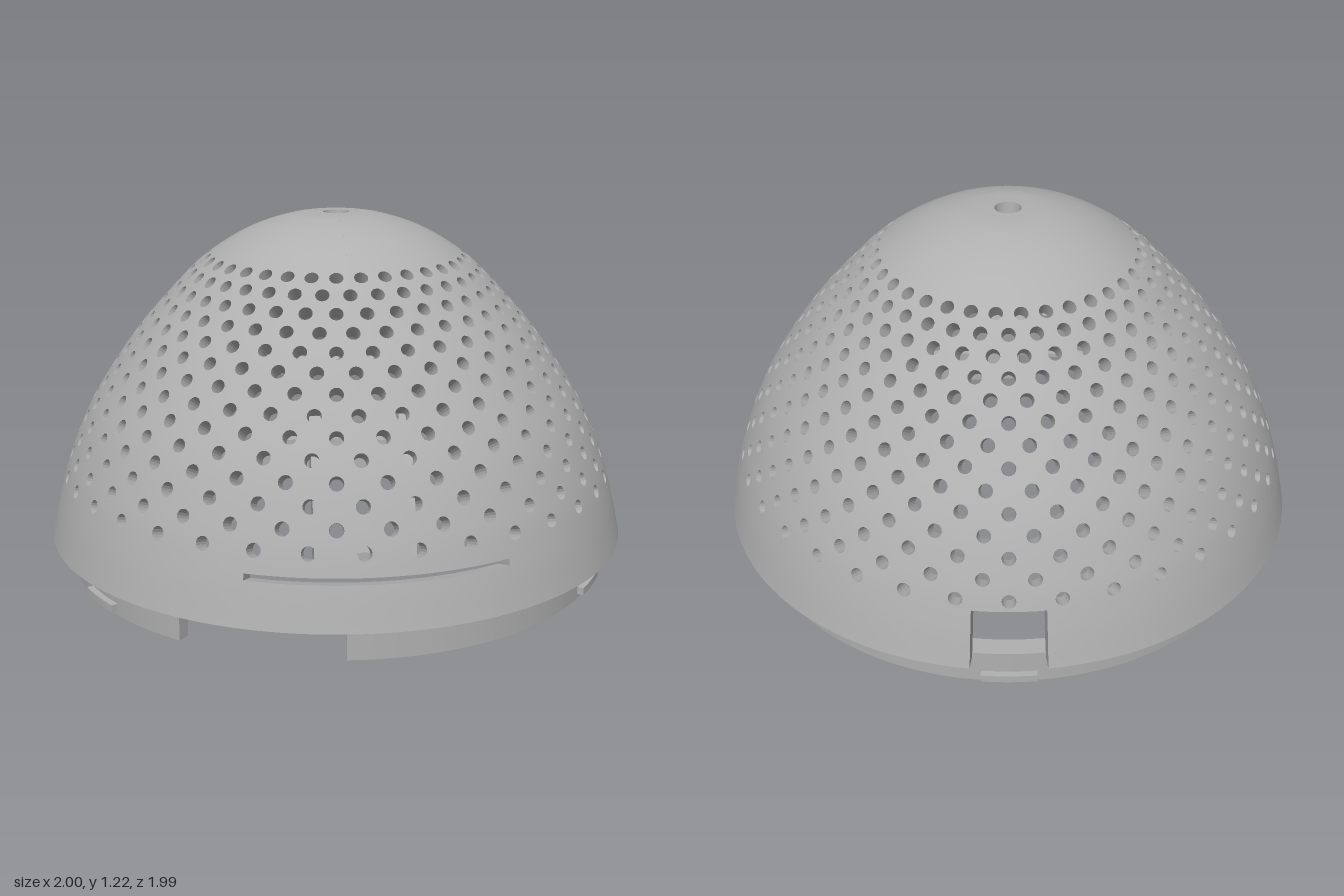
import * as THREE from 'three';
import { toCreasedNormals } from 'three/addons/utils/BufferGeometryUtils.js';

const RAD = Math.PI / 180;
const WALL = 0.06;        // shell thickness
const HOLE = 0.0225;      // vent hole radius
const ROWS = 14, COLS = 36;
const RIM = 0.12, BAND_TOP = 0.315, VENT_TOP = 1.09;

// Dome profile (radius, height), from rim to crown
const profile = new THREE.SplineCurve([
  [1, 0.12], [0.966, 0.27], [0.922, 0.41], [0.84, 0.59], [0.7, 0.8],
  [0.58, 0.94], [0.46, 1.06], [0.31, 1.155], [0.16, 1.207], [0.045, 1.217],
].map(p => new THREE.Vector2(...p)));
const LENGTH = profile.getLength();

// Profile parameter at a given height
function tAt(y) {
  let lo = 0, hi = 1;
  for (let i = 0; i < 30; i++) {
    const m = (lo + hi) / 2;
    if (profile.getPointAt(m).y < y) lo = m; else hi = m;
  }
  return lo;
}

// Point and normal at angle a (degrees from front), profile position t, depth d
function onDome([a, t, d]) {
  const p = profile.getPointAt(t), g = profile.getTangentAt(t);
  const s = Math.sin(a * RAD), c = Math.cos(a * RAD);
  const r = p.x - g.y * d, y = Math.max(RIM, p.y + g.x * d);
  return {
    p: new THREE.Vector3(r * s, y, r * c),
    n: new THREE.Vector3(g.y * s, -g.x, g.y * c),
  };
}

// Collects curved sheets into one geometry
class Shell {
  constructor() { this.pos = []; this.nor = []; }

  // side: 1 outer face, -1 inner face, 0 flat-shaded wall
  sheet(fn, nu, nv, side) {
    const grid = [];
    for (let j = 0; j <= nv; j++) {
      for (let i = 0; i <= nu; i++) grid.push(onDome(fn(i / nu, j / nv)));
    }
    const w = nu + 1;
    for (let j = 0; j < nv; j++) for (let i = 0; i < nu; i++) {
      const k = j * w + i;
      const q = [k, k + 1, k + w + 1, k + w].map(m => grid[m]);
      if (side < 0) q.reverse();
      const flat = q[2].p.clone().sub(q[0].p).cross(q[3].p.clone().sub(q[1].p)).normalize();
      for (const m of [0, 1, 2, 0, 2, 3]) {
        const n = side ? q[m].n.clone().multiplyScalar(side) : flat;
        this.pos.push(...q[m].p.toArray());
        this.nor.push(...n.toArray());
      }
    }
  }

  // Walls around the outline of a patch
  edge(a0, a1, t0, t1, n) {
    this.sheet((u, v) => [...outline(u, a0, a1, t0, t1), WALL * (1 - v)], 4 * n, 1, 0);
  }

  // Solid curved panel
  panel(a0, a1, t0, t1, nv = 4) {
    const nu = Math.max(2, Math.ceil((a1 - a0) / 2.5));
    const at = d => (u, v) => [a0 + (a1 - a0) * u, t0 + (t1 - t0) * v, d];
    this.sheet(at(0), nu, nv, 1);
    this.sheet(at(WALL), nu, nv, -1);
    this.edge(a0, a1, t0, t1, nu);
  }

  // Panel with a round hole through it
  vent(a0, a1, t0, t1, ac, walled) {
    const tc = (t0 + t1) / 2, r = profile.getPointAt(tc).x;
    const circle = u => {
      const f = (u * 360 - 135) * RAD;
      return [ac + HOLE * Math.cos(f) / r / RAD, tc + HOLE * Math.sin(f) / LENGTH];
    };
    const face = d => (u, v) => {
      const o = outline(u, a0, a1, t0, t1), c = circle(u);
      return [o[0] + (c[0] - o[0]) * v, o[1] + (c[1] - o[1]) * v, d];
    };
    this.sheet(face(0), 16, 1, 1);
    this.sheet(face(WALL), 16, 1, -1);
    this.sheet((u, v) => [...circle(u), WALL * v], 16, 1, 0);
    if (walled) this.edge(a0, a1, t0, t1, 4);
  }

  geometry() {
    const g = new THREE.BufferGeometry();
    g.setAttribute('position', new THREE.Float32BufferAttribute(this.pos, 3));
    g.setAttribute('normal', new THREE.Float32BufferAttribute(this.nor, 3));
    return g;
  }
}

// Walks counter-clockwise round a rectangle from its lower left corner
function outline(u, a0, a1, t0, t1) {
  const k = u * 4, s = Math.min(3, Math.floor(k)), f = k - s;
  const x = [f, 1, 1 - f, 0][s], y = [0, f, 1, 1 - f][s];
  return [a0 + (a1 - a0) * x, t0 + (t1 - t0) * y];
}

// Solid ring segment between two radii, heights and angles
function ringSegment(r0, r1, y0, y1, a0, a1) {
  const s = new THREE.Shape();
  const b = (a0 - 90) * RAD, e = (a1 - 90) * RAD;
  s.absarc(0, 0, r1, b, e, false);
  s.absarc(0, 0, r0, e, b, true);
  const g = new THREE.ExtrudeGeometry(s, {
    depth: y1 - y0, bevelEnabled: false, curveSegments: Math.max(6, Math.ceil((a1 - a0) / 3)),
  });
  g.rotateX(-Math.PI / 2).translate(0, y0, 0);
  return toCreasedNormals(g, 0.5);
}

export function createModel() {
  const grey = new THREE.MeshStandardMaterial({ color: 0xb0b0b0 });
  grey.name = 'grey plastic';
  const model = new THREE.Group();
  model.name = 'perforatedDome';
  const add = (name, geo) => {
    const m = new THREE.Mesh(geo, grey);
    m.name = name;
    model.add(m);
    return m;
  };

  // Lower band: front slot, U-shaped cut on the left side, window at the back
  const band = new Shell();
  [
    [-21.5, 27.7, RIM, 0.26], [-21.5, 27.7, 0.28, BAND_TOP],
    [27.7, 84, RIM, BAND_TOP],
    [84, 96, RIM, 0.145], [85, 95, 0.16, BAND_TOP],
    [96, 173, RIM, BAND_TOP], [187, 338.5, RIM, BAND_TOP],
  ].forEach(([a0, a1, y0, y1]) => band.panel(a0, a1, tAt(y0), tAt(y1)));
  add('lowerBand', band.geometry());

  // Staggered rows of vent holes
  const vents = new Shell();
  const tLow = tAt(BAND_TOP), tHigh = tAt(VENT_TOP), step = (tHigh - tLow) / ROWS;
  for (let row = 0; row < ROWS; row++) {
    for (let col = 0; col < COLS; col++) {
      const a = col * 10 + (row % 2) * 5;
      let a0 = a - 5, a1 = a + 5;
      if (row === 0 && a === 80) a1 = 84;
      if (row === 0 && a === 100) a0 = 96;
      vents.vent(a0, a1, tLow + row * step, tLow + (row + 1) * step, a, row === 0);
    }
  }
  add('ventedWall', vents.geometry());

  // Plain crown with its centre hole
  const crown = new Shell();
  crown.panel(0, 360, tHigh, 1, 14);
  add('crown', crown.geometry());

  // Ledge under the dome and the lip below it, with a gap at the front
  const ledge = [[0.945, 0.12], [0.945, 0.135], [0.88, 0.135], [0.88, 0.12], [0.945, 0.12]];
  add('rimLedge', toCreasedNormals(
    new THREE.LatheGeometry(ledge.map(p => new THREE.Vector2(...p)), 120), 0.5));
  add('lip', ringSegment(0.88, 0.923, 0, 0.122, -3.2, 323.4));

  // Locking tabs on the lip
  for (const a of [60, 180, 300]) {
    add('lockingTab', ringSegment(0.915, 0.945, 0.015, 0.04, a - 5.5, a + 5.5));
  }

  // Bracket inside the front wall: two rails following the wall and a foot bar
  const wallLine = d => Array.from({ length: 9 }, (_, i) => {
    const p = onDome([0, tAt(0.33 + 0.4 * i / 8), d]).p;
    return new THREE.Vector2(p.z, p.y);
  });
  const railShape = new THREE.Shape([...wallLine(0.05), ...wallLine(0.12).reverse()]);
  for (const x of [0.16, -0.11]) {
    const g = new THREE.ExtrudeGeometry(railShape, { depth: 0.035, bevelEnabled: false });
    add('bracketRail', g.rotateY(-Math.PI / 2)).position.x = x;
  }
  add('bracketFoot', new THREE.BoxGeometry(0.305, 0.03, 0.09)).position.set(0.0075, 0.315, 0.845);

  return model;
}
